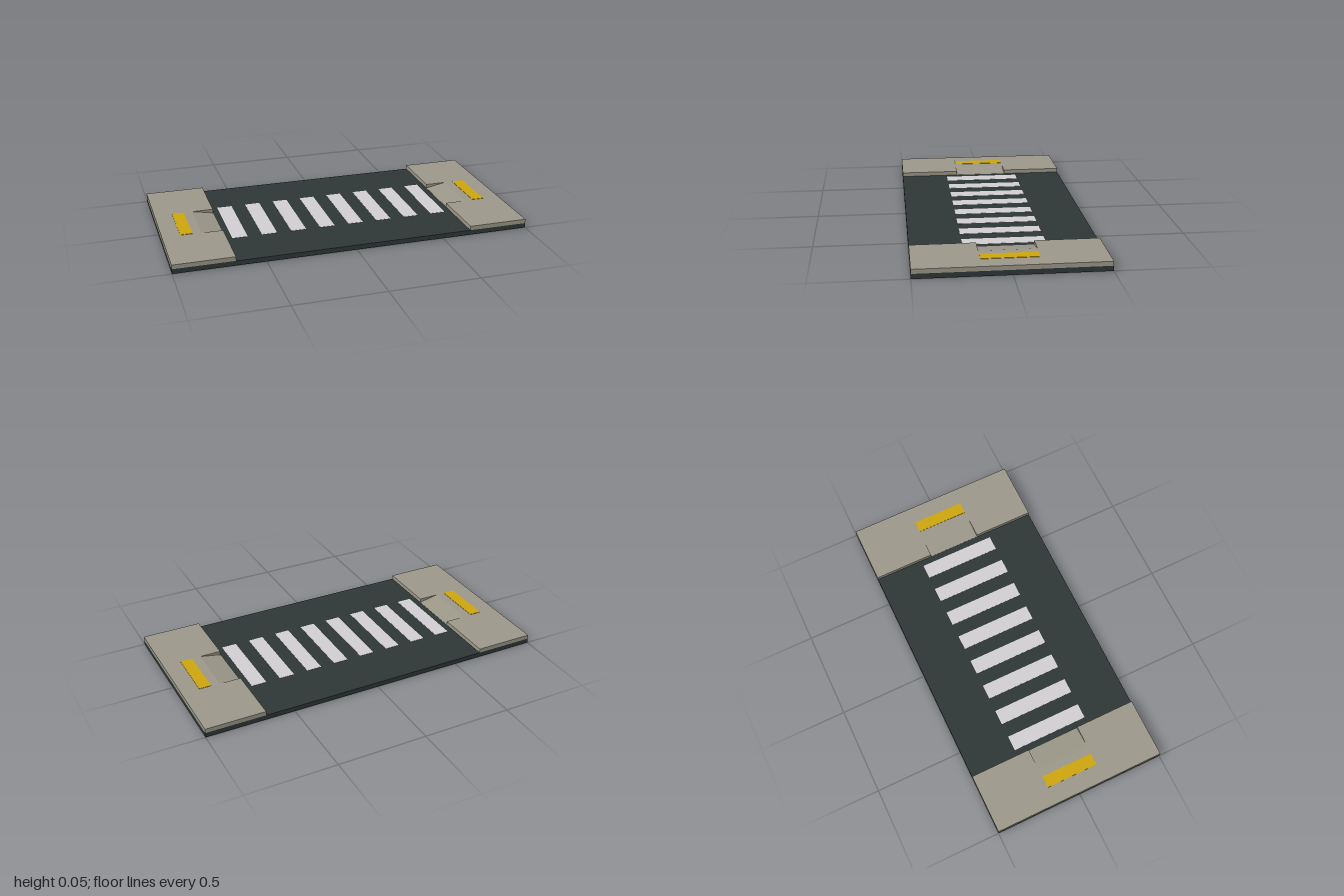
import * as THREE from 'three';

const ROAD_TOP = 0.027, WALK_TOP = 0.051, CURB_X = 0.663, RAMP_X = 0.783, RAMP_Z = 0.152;

const material = (name, color) => {
  const m = new THREE.MeshStandardMaterial({ color });
  m.name = name;
  return m;
};

export function createModel() {
  const asphalt = material('asphalt', 0x2e3736);
  const concrete = material('concrete', 0x9a9688);
  const whitePaint = material('whitePaint', 0xcfcdcf);
  const yellowPaint = material('yellowPaint', 0xcba40f);

  const model = new THREE.Group();
  model.name = 'pedestrianCrossing';

  // Box given by its lower and upper limits
  const box = (name, mat, [x0, y0, z0], [x1, y1, z1], parent) => {
    const mesh = new THREE.Mesh(new THREE.BoxGeometry(x1 - x0, y1 - y0, z1 - z0), mat);
    mesh.position.set((x0 + x1) / 2, (y0 + y1) / 2, (z0 + z1) / 2);
    mesh.name = name;
    parent.add(mesh);
  };

  // Road slab
  box('road', asphalt, [-1, 0, -0.5], [1, ROAD_TOP, 0.5], model);

  // Eight painted crossing stripes
  for (let i = 0; i < 8; i++) {
    const x = (i - 3.5) * 0.1667;
    box('crossingStripe', whitePaint, [x - 0.043, ROAD_TOP, -0.22], [x + 0.043, ROAD_TOP + 0.001, 0.22], model);
  }

  // Pavements at both ends, the second turned half around
  for (const turn of [0, Math.PI]) {
    const pavement = new THREE.Group();
    pavement.name = turn ? 'rightPavement' : 'leftPavement';
    pavement.rotation.y = turn;
    model.add(pavement);

    box('pavementBack', concrete, [CURB_X, ROAD_TOP, -0.5], [1, WALK_TOP, -RAMP_Z], pavement);
    box('pavementFront', concrete, [CURB_X, ROAD_TOP, RAMP_Z], [1, WALK_TOP, 0.5], pavement);

    // Middle section with the dropped curb sloping down to the road
    const profile = new THREE.Shape([
      [CURB_X, ROAD_TOP], [1, ROAD_TOP], [1, WALK_TOP], [RAMP_X, WALK_TOP], [CURB_X, ROAD_TOP + 0.001],
    ].map(([x, y]) => new THREE.Vector2(x, y)));
    const ramp = new THREE.Mesh(
      new THREE.ExtrudeGeometry(profile, { depth: RAMP_Z * 2, bevelEnabled: false }), concrete);
    ramp.position.z = -RAMP_Z;
    ramp.name = 'curbRamp';
    pavement.add(ramp);

    // Yellow warning strip
    box('warningStrip', yellowPaint, [0.832, WALK_TOP, -0.15], [0.9, WALK_TOP + 0.002, 0.15], pavement);
  }

  return model;
}
